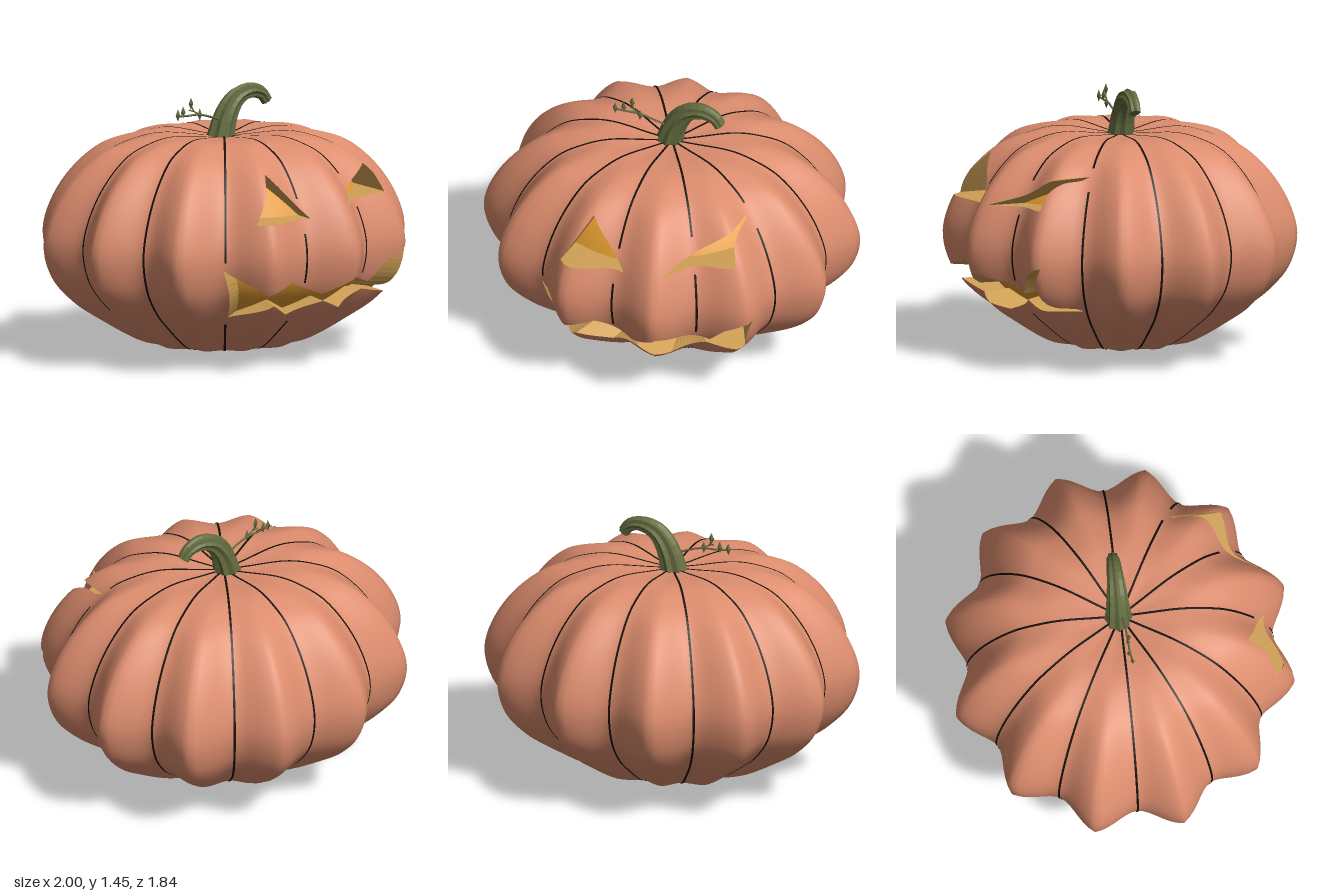
import * as THREE from 'three';

const mat = (name, color, extra = {}) => Object.assign(new THREE.MeshStandardMaterial({ color, ...extra }), { name });
const V2 = (p) => new THREE.Vector2(p[0], p[1]);

const LOBES = 12, DEPTH = 0.13, SQUASH = 0.92, MID = 0.62;

// Half outline of a ridge, from the crown down to the base (radius, height)
const profile = new THREE.SplineCurve([
  [0.002, 1.175], [0.15, 1.185], [0.38, 1.2], [0.55, 1.175], [0.72, 1.11], [0.88, 0.97], [0.99, 0.8],
  [1.035, 0.63], [0.99, 0.46], [0.88, 0.33], [0.74, 0.23], [0.46, 0.075], [0.25, 0.055], [0.002, 0.04],
].map(V2));

// Openings, drawn in the front plane
const openings = [
  { name: 'rightEye', scale: 0.88, pts: [[-0.31, 0.835], [0.05, 0.835], [-0.17, 1.08]] },
  { name: 'leftEye', scale: 0.88, pts: [[0.28, 0.88], [0.635, 0.905], [0.58, 1.07]] },
  {
    name: 'mouth', scale: 0.82, pts: [
      [-0.36, 0.305], [-0.21, 0.385], [-0.05, 0.305], [0.13, 0.378], [0.29, 0.305], [0.47, 0.39], [0.67, 0.35],
      [0.745, 0.61], [0.6, 0.53], [0.5, 0.43], [0.28, 0.508], [0.11, 0.42], [-0.1, 0.505], [-0.27, 0.45], [-0.46, 0.585],
    ],
  },
];

// Point on the ribbed skin: furrows at multiples of 30 degrees, ridges between
function skinPoint(theta, v) {
  const p = profile.getPoint(v);
  const k = (theta / (2 * Math.PI)) * LOBES;
  const t = 2 * Math.abs(k - Math.round(k));
  const f = 0.65 * Math.sin((t * Math.PI) / 2) ** 2 + 0.35 * t * t;
  const r = p.x * (1 - DEPTH * (1 - f));
  return new THREE.Vector3(r * Math.cos(theta), p.y, SQUASH * r * Math.sin(theta));
}

// Closed-ring surface from a rule giving the point at (row, column)
function ringSurface(rows, cols, point) {
  const pos = [], idx = [];
  for (let i = 0; i <= rows; i++) for (let j = 0; j < cols; j++) pos.push(...point(i, j).toArray());
  for (let i = 0; i < rows; i++) {
    for (let j = 0; j < cols; j++) {
      const a = i * cols + j, b = i * cols + ((j + 1) % cols);
      idx.push(a, b, a + cols, b, b + cols, a + cols);
    }
  }
  const g = new THREE.BufferGeometry();
  g.setAttribute('position', new THREE.Float32BufferAttribute(pos, 3));
  g.setIndex(idx);
  g.computeVertexNormals();
  return g;
}

// Cut a polygon by the line a-b; returns [left part, right part]
function split(poly, a, b) {
  const side = (p) => (b.x - a.x) * (p[1] - a.y) - (b.y - a.y) * (p[0] - a.x);
  const left = [], right = [];
  poly.forEach((p, i) => {
    const q = poly[(i + 1) % poly.length], sp = side(p), sq = side(q);
    if (sp >= 0) left.push(p);
    if (sp <= 0) right.push(p);
    if (sp * sq < 0) {
      const m = p.map((c, n) => c + ((q[n] - c) * sp) / (sp - sq));
      left.push(m);
      right.push(m);
    }
  });
  return [left, right];
}

// Remove a convex counter-clockwise shape from a polygon
function subtract(poly, tri) {
  const out = [];
  let rest = poly;
  for (let e = 0; e < tri.length; e++) {
    const [inside, outside] = split(rest, tri[e], tri[(e + 1) % tri.length]);
    if (outside.length > 2) out.push(outside);
    if (inside.length < 3) return [poly];
    rest = inside;
  }
  return out;
}

// Skin with the openings cut through its front
function carve(geometry) {
  const cutters = [];
  for (const o of openings) {
    const pts = o.pts.map(V2);
    for (const f of THREE.ShapeUtils.triangulateShape(pts, [])) {
      const tri = f.map((i) => pts[i]);
      cutters.push(THREE.ShapeUtils.area(tri) < 0 ? tri.reverse() : tri);
    }
  }
  const flat = geometry.toNonIndexed();
  const P = flat.attributes.position, N = flat.attributes.normal;
  const pos = [], nor = [];
  for (let i = 0; i < P.count; i += 3) {
    const tri = [i, i + 1, i + 2].map((n) => [P.getX(n), P.getY(n), P.getZ(n), N.getX(n), N.getY(n), N.getZ(n)]);
    let polys = [tri];
    if (tri.every((p) => p[2] > 0.05)) for (const c of cutters) polys = polys.flatMap((p) => subtract(p, c));
    for (const p of polys) {
      for (let k = 1; k < p.length - 1; k++) {
        for (const q of [p[0], p[k], p[k + 1]]) {
          pos.push(...q.slice(0, 3));
          nor.push(...q.slice(3));
        }
      }
    }
  }
  const g = new THREE.BufferGeometry();
  g.setAttribute('position', new THREE.Float32BufferAttribute(pos, 3));
  g.setAttribute('normal', new THREE.Float32BufferAttribute(nor, 3));
  return g;
}

// Strip of quads between two rows of points, flat shaded
function ribbon(A, B, keep = () => true) {
  const pos = [];
  for (let i = 0; i < A.length - 1; i++) {
    if (!keep(A[i])) continue;
    for (const p of [A[i], A[i + 1], B[i], A[i + 1], B[i + 1], B[i]]) pos.push(...p.toArray());
  }
  const g = new THREE.BufferGeometry();
  g.setAttribute('position', new THREE.Float32BufferAttribute(pos, 3));
  g.computeVertexNormals();
  return g;
}

export function createModel() {
  const group = new THREE.Group();
  const skin = mat('pumpkin skin', 0xdd8d6e, { side: THREE.DoubleSide });
  const flesh = mat('cut flesh', 0xcfa055, { side: THREE.DoubleSide });
  const glow = mat('glowing core', 0xe09a30);
  const dark = mat('furrow black', 0x14100a, { side: THREE.DoubleSide });
  const green = mat('stem green', 0x636a3e, { flatShading: true });
  const add = (name, geometry, material) => {
    const m = new THREE.Mesh(geometry, material);
    m.name = name;
    group.add(m);
    return m;
  };

  // Ribbed skin and the plain core inside it
  const cols = LOBES * 14, rows = 60;
  const whole = ringSurface(rows, cols, (i, j) => skinPoint((j / cols) * 2 * Math.PI, i / rows));
  add('skin', carve(whole), skin);
  const coreMesh = add('core', ringSurface(40, 64, (i, j) => {
    const p = profile.getPoint(i / 40), a = (j / 64) * 2 * Math.PI;
    return new THREE.Vector3(p.x * 0.8 * Math.cos(a), MID + (p.y - MID) * 0.87, SQUASH * p.x * 0.8 * Math.sin(a));
  }), glow);
  const nub = add('baseNub', new THREE.ConeGeometry(0.035, 0.05, 10), skin);
  nub.rotation.x = Math.PI;
  nub.position.y = 0.025;

  // Tapered walls of the openings, from the skin in to the core
  const skinMesh = new THREE.Mesh(whole, skin);
  const ray = new THREE.Raycaster();
  const depthAt = (mesh, x, y, fallback) => {
    ray.set(new THREE.Vector3(x, y, 3), new THREE.Vector3(0, 0, -1));
    const hit = ray.intersectObject(mesh)[0];
    return hit ? hit.point.z : fallback;
  };
  for (const o of openings) {
    const n = o.pts.length, outer = [], inner = [];
    const cx = o.pts.reduce((s, p) => s + p[0], 0) / n, cy = o.pts.reduce((s, p) => s + p[1], 0) / n;
    for (let s = 0; s <= n * 10; s++) {
      const i = Math.floor(s / 10);
      const p = V2(o.pts[i % n]).lerp(V2(o.pts[(i + 1) % n]), (s % 10) / 10);
      const z = depthAt(skinMesh, p.x, p.y, 0.4);
      const x = cx + (p.x - cx) * o.scale, y = cy + (p.y - cy) * o.scale;
      outer.push(new THREE.Vector3(p.x, p.y, z));
      inner.push(new THREE.Vector3(x, y, depthAt(coreMesh, x, y, z - 0.15) - 0.01));
    }
    add(o.name + 'Wall', ribbon(outer, inner), flesh);
  }

  // Dark lines along the furrows, broken near the openings
  const gaps = { 1: [[1.02, 1.12]], 2: [[0.86, 1.04], [0.3, 0.51]], 3: [[0.77, 0.94], [0.26, 0.51]], 4: [[0.26, 0.64]] };
  for (let k = 0; k < LOBES; k++) {
    const a = (k / LOBES) * 2 * Math.PI, sides = [[], []];
    const across = new THREE.Vector3(-Math.sin(a), 0, SQUASH * Math.cos(a)).normalize();
    for (let i = 1; i < 100; i++) {
      const p = skinPoint(a, i / 100);
      p.set(p.x * 1.005, MID + (p.y - MID) * 1.006, p.z * 1.005);
      [-0.006, 0.006].forEach((w, s) => sides[s].push(p.clone().addScaledVector(across, w)));
    }
    const open = (p) => !(gaps[k] || []).some(([lo, hi]) => p.y > lo && p.y < hi);
    add('furrowLine', ribbon(sides[0], sides[1], open), dark);
  }

  // Curved, ribbed stem narrowing to a cut end
  const path = new THREE.CatmullRomCurve3([[-0.018, 1.16], [0.02, 1.29], [0.085, 1.38], [0.175, 1.41], [0.245, 1.39], [0.28, 1.345]]
    .map(([x, y]) => new THREE.Vector3(x, y, -0.01)));
  add('stem', ringSurface(15, 16, (i, j) => {
    const u = Math.min(i / 14, 1), a = (j / 16) * 2 * Math.PI;
    const t = path.getPoint(u), d = path.getTangent(u);
    const r = i > 14 ? 0 : (0.033 + 0.045 * (1 - u) ** 1.6) * (j % 2 ? 0.82 : 1);
    return t.add(new THREE.Vector3(-d.y * r * Math.cos(a), d.x * r * Math.cos(a), r * Math.sin(a)));
  }), green);

  // Side twig with small pointed buds
  const twig = (pts, r) => add('twig', new THREE.TubeGeometry(
    new THREE.CatmullRomCurve3(pts.map((p) => new THREE.Vector3(...p))), 8, r, 5), green);
  twig([[-0.02, 1.265, 0], [-0.1, 1.295, 0.015], [-0.18, 1.315, 0.02], [-0.25, 1.315, 0.025], [-0.32, 1.32, 0.035]], 0.006);
  twig([[-0.17, 1.312, 0.02], [-0.21, 1.335, 0.025], [-0.24, 1.345, 0.02]], 0.004);
  twig([[-0.21, 1.335, 0.025], [-0.225, 1.37, 0.02]], 0.004);
  for (const [x, y, z] of [[-0.318, 1.325, 0.035], [-0.275, 1.335, 0.02], [-0.225, 1.378, 0.02], [-0.175, 1.315, 0.03]]) {
    const bud = add('bud', new THREE.OctahedronGeometry(1), green);
    bud.scale.set(0.015, 0.034, 0.012);
    bud.position.set(x, y, z);
  }
  return group;
}
